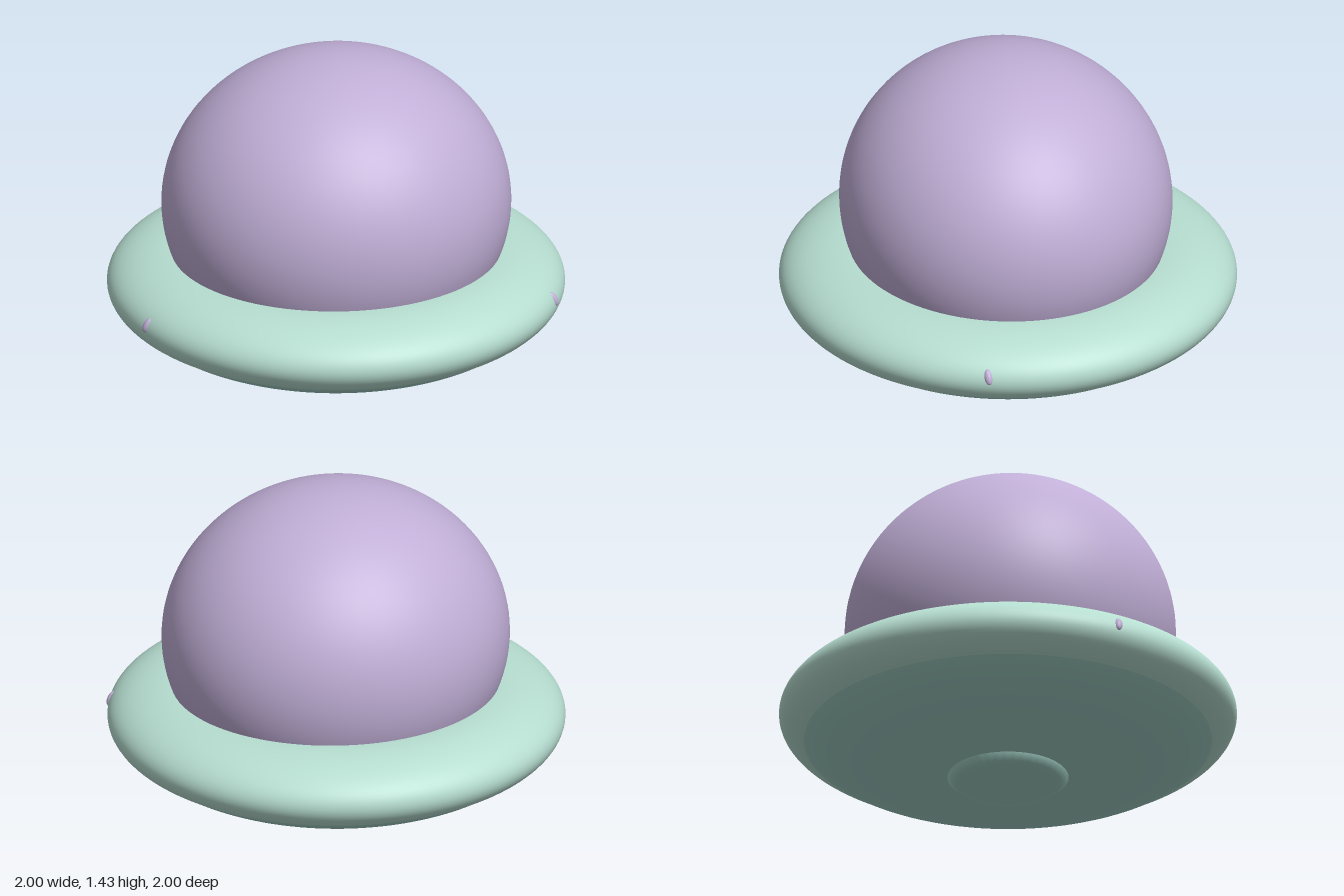
import * as THREE from 'three';

export function createModel() {
  const model = new THREE.Group();
  const mat = (name, color) => {
    const m = new THREE.MeshStandardMaterial({ color });
    m.name = name;
    return m;
  };
  const lilac = mat('lilac', 0xc0aed6);
  const mint = mat('mint', 0xb6ddd0);
  const teal = mat('teal', 0xa0cdc3);

  const add = (name, geometry, material) => {
    const mesh = new THREE.Mesh(geometry, material);
    mesh.name = name;
    model.add(mesh);
    return mesh;
  };

  // Elliptical arc as a lathe profile, angles in radians from outward
  const arc = (cr, cy, rr, ry, from, to, n) => {
    const points = [];
    for (let i = 0; i <= n; i++) {
      const a = from + (to - from) * i / n;
      points.push(new THREE.Vector2(Math.max(0, cr + rr * Math.cos(a)), cy + ry * Math.sin(a)));
    }
    return points;
  };

  // Large domed cabin, slightly shallower front to back
  const dome = add('dome', new THREE.SphereGeometry(1, 96, 64), lilac);
  dome.scale.set(0.765, 0.69, 0.723);
  dome.position.set(0, 0.745, 0.01);

  // Rounded rim around the dome
  add('rim', new THREE.LatheGeometry(arc(0.7, 0.36, 0.3, 0.163, -Math.PI, Math.PI, 64), 128), mint);

  // Shallow bowl under the rim
  add('hull', new THREE.LatheGeometry(arc(0, 0.335, 0.95, 0.29, -Math.PI / 2, 0, 40), 128), teal);

  // Small hatch at the bottom, with shallow flutes round its edge
  const hatchProfile = [[0, 0], [0.1, 0.008], [0.2, 0.02], [0.235, 0.028], [0.265, 0.054], [0.25, 0.075]]
    .map(([r, y]) => new THREE.Vector2(r, y));
  const hatch = new THREE.LatheGeometry(hatchProfile, 160);
  const p = hatch.attributes.position;
  for (let i = 0; i < p.count; i++) {
    const x = p.getX(i), z = p.getZ(i), r = Math.hypot(x, z);
    if (r > 0.15 && r < 0.24) {
      p.setY(i, p.getY(i) + 0.0015 * Math.cos(40 * Math.atan2(z, x)));
    }
  }
  hatch.computeVertexNormals();
  add('hatch', hatch, teal);

  // A pair of small oval studs on the rim, leaning with its surface
  for (const side of [-1, 1]) {
    const stud = add(side > 0 ? 'leftStud' : 'rightStud', new THREE.SphereGeometry(1, 24, 16), lilac);
    stud.scale.set(0.02, 0.037, 0.019);
    stud.position.set(side * 0.894, 0.39, 0.412);
    stud.rotation.z = side * 0.5;
  }

  return model;
}
